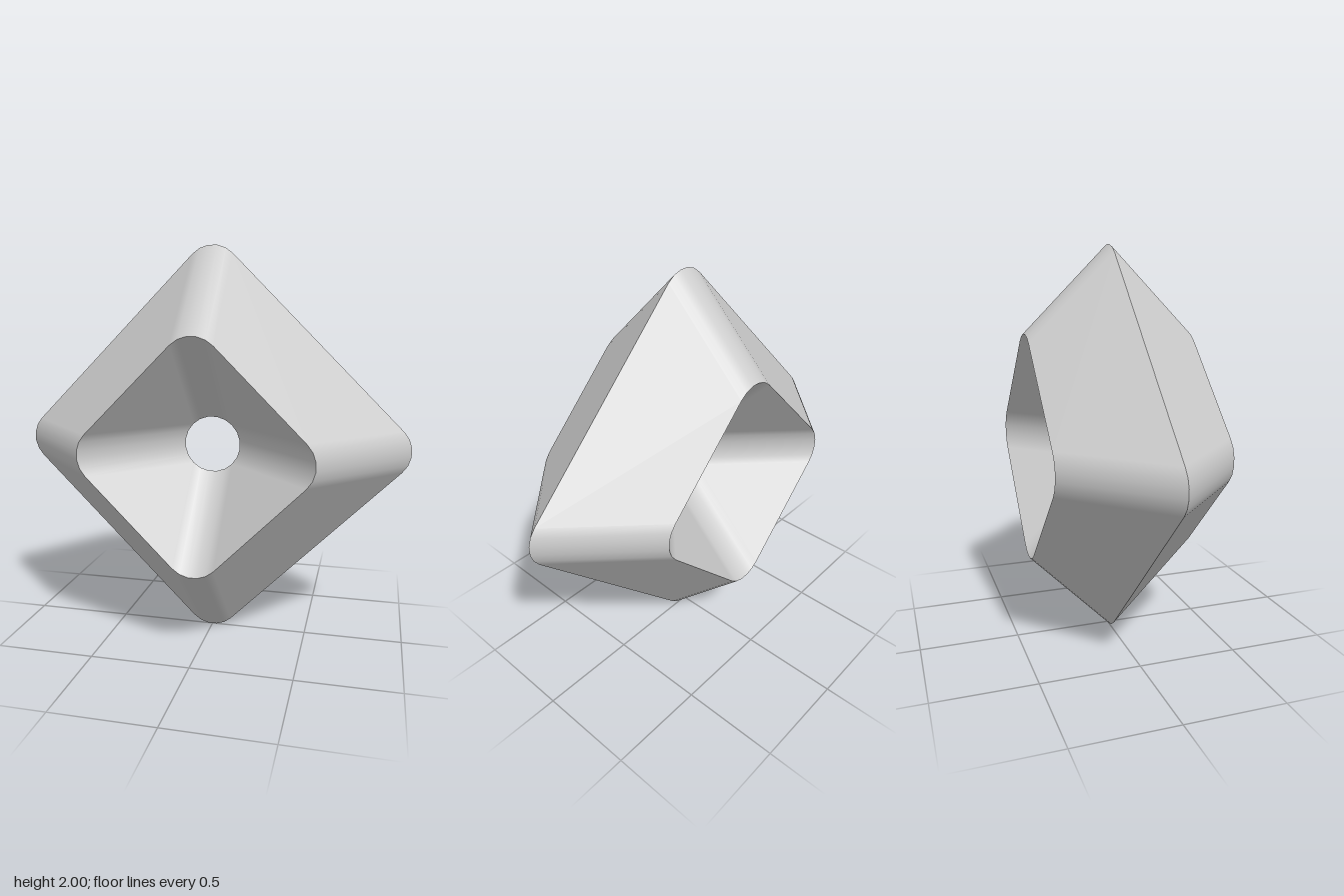
import * as THREE from 'three';

const R = 0.145;   // corner radius, the same on every ring
const STEPS = 5;   // facets per rounded corner
const D = 0.857;   // reach of the outer ring's corner centres
const H = 0.428;   // half depth

// Rings of the diamond-shaped section: [corner reach, z]
const RINGS = [[D, 0], [D / 2, H], [0, 0], [D / 2, -H], [D, 0]];

// One smooth band between two rounded-diamond rings
function band([d0, z0], [d1, z1]) {
  const pos = [], nor = [], idx = [];
  const rail = new THREE.Vector3(), tangent = new THREE.Vector3();
  const perCorner = STEPS + 1, count = 4 * perCorner;
  for (let i = 0; i < count; i++) {
    const axis = Math.floor(i / perCorner) * Math.PI / 2;
    const a = axis - Math.PI / 4 + (i % perCorner) / STEPS * Math.PI / 2;
    const ax = Math.cos(axis), ay = Math.sin(axis);
    const x = R * Math.cos(a), y = R * Math.sin(a);
    pos.push(ax * d0 + x, ay * d0 + y, z0, ax * d1 + x, ay * d1 + y, z1);
    // Normal is square to both the ring and the straight rail
    rail.set(ax * (d1 - d0), ay * (d1 - d0), z1 - z0);
    tangent.set(-Math.sin(a), Math.cos(a), 0);
    const n = tangent.cross(rail).normalize();
    nor.push(n.x, n.y, n.z, n.x, n.y, n.z);

    const p = 2 * i, q = 2 * ((i + 1) % count);
    const flatSide = i % perCorner === STEPS;
    // Flat sides shrink to a point where the ring is a plain circle
    if (!(flatSide && d0 === 0)) idx.push(p, q, p + 1);
    if (!(flatSide && d1 === 0)) idx.push(q, q + 1, p + 1);
  }
  const g = new THREE.BufferGeometry();
  g.setAttribute('position', new THREE.Float32BufferAttribute(pos, 3));
  g.setAttribute('normal', new THREE.Float32BufferAttribute(nor, 3));
  g.setIndex(idx);
  return g;
}

export function createModel() {
  const model = new THREE.Group();
  model.name = 'diamondRing';
  const material = new THREE.MeshStandardMaterial({ color: 0xcccccc });
  const names = ['outerFrontSlope', 'innerFrontSlope', 'innerBackSlope', 'outerBackSlope'];
  names.forEach((name, i) => {
    const mesh = new THREE.Mesh(band(RINGS[i], RINGS[i + 1]), material);
    mesh.name = name;
    mesh.position.y = 1;
    model.add(mesh);
  });
  return model;
}
